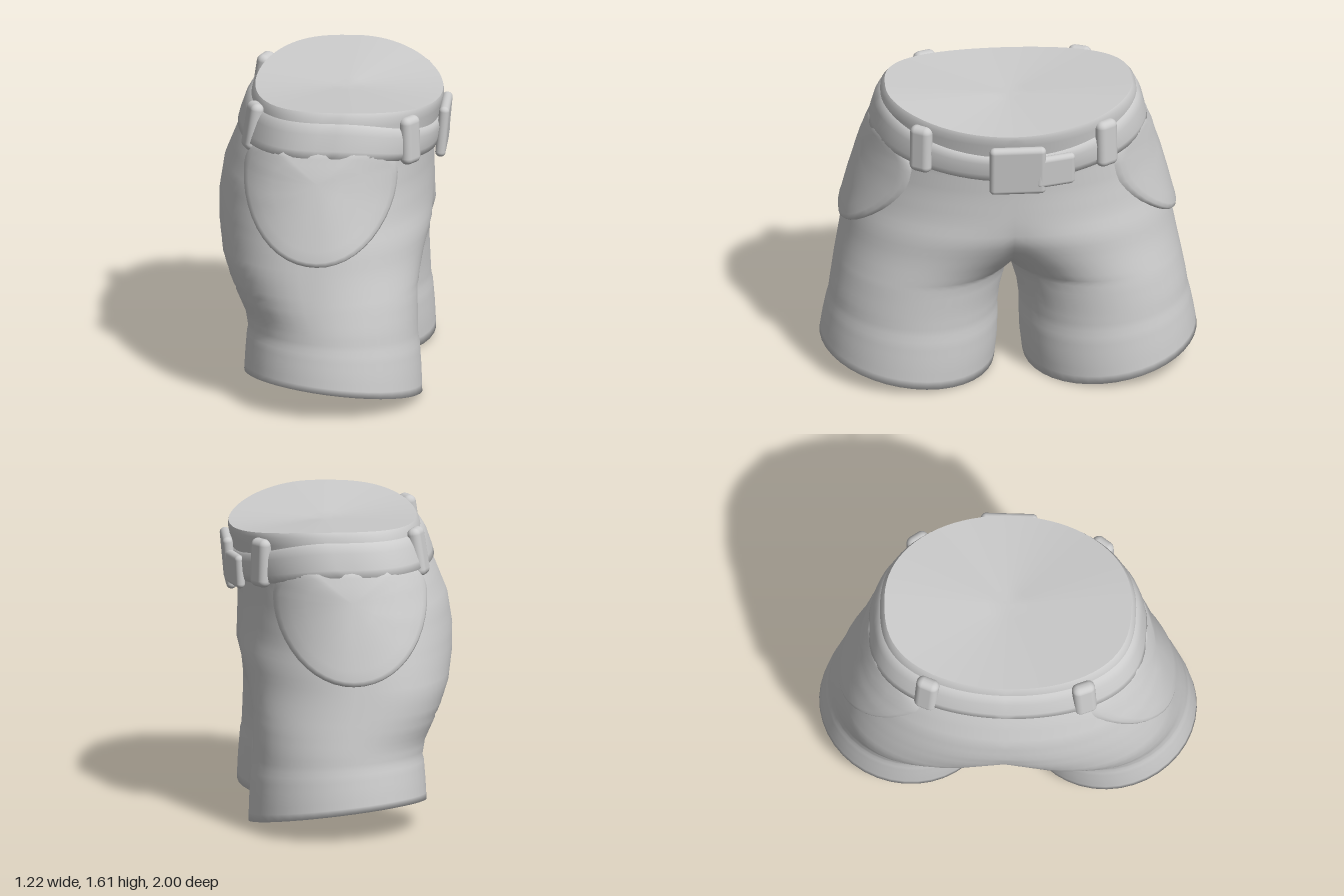
import * as THREE from 'three';
import { mergeVertices, mergeGeometries } from 'three/addons/utils/BufferGeometryUtils.js';
import { RoundedBoxGeometry } from 'three/addons/geometries/RoundedBoxGeometry.js';

// Half-body sections: height, front x, back x, outer z, inner z
const SECTIONS = [
  [1.61, 0.568, -0.425, 0.655, -0.655], [1.585, 0.572, -0.44, 0.675, -0.675],
  [1.45, 0.55, -0.465, 0.69, -0.69], [1.3, 0.525, -0.53, 0.745, -0.745],
  [1.15, 0.52, -0.59, 0.79, -0.78], [1.0, 0.52, -0.612, 0.83, -0.74],
  [0.88, 0.518, -0.605, 0.86, -0.56], [0.75, 0.485, -0.578, 0.885, -0.28],
  [0.65, 0.47, -0.535, 0.905, -0.09], [0.58, 0.465, -0.5, 0.92, 0],
  [0.45, 0.468, -0.445, 0.942, 0.045], [0.35, 0.472, -0.43, 0.955, 0.06],
  [0.32, 0.48, -0.437, 0.964, 0.055], [0.2, 0.49, -0.445, 0.985, 0.06], [0.085, 0.495, -0.45, 1.0, 0.075],
];
const { clamp, lerp, smoothstep } = THREE.MathUtils;

function section(y) {
  let i = 0;
  while (i < SECTIONS.length - 2 && y < SECTIONS[i + 1][0]) i++;
  const a = SECTIONS[i], b = SECTIONS[i + 1];
  const t = clamp((a[0] - y) / (a[0] - b[0]), 0, 1);
  const [, xf, xb, zo, zi] = a.map((v, k) => lerp(v, b[k], t));
  return {
    cx: (xf + xb) / 2, rx: (xf - xb) / 2, c: (zo + zi) / 2, rz: (zo - zi) / 2,
    back: lerp(1, 0.78, smoothstep(y, 0.4, 0.8)) - 0.1 * smoothstep(y, 1.1, 1.4), // squarer at the back
  };
}

// Point on the garment; u runs -1 (back) to 1 (front) round the outer side
function surface(y, u, off = 0) {
  const s = section(y);
  const phi = u * Math.acos(clamp(-s.c / s.rz, -1, 1));
  const sn = Math.sin(phi), cs = Math.cos(phi);
  const sx = sn < 0 ? -Math.pow(-sn, s.back) : sn;
  const top = clamp((y - 1.3) / 0.3, 0, 1), bottom = clamp((0.58 - y) / 0.495, 0, 1);
  const dy = -top * sn * sn * (sn > 0 ? 0.075 : 0.035) + bottom * (0.065 * cs - 0.055 * sn);
  let z = s.c + (s.rz + off) * cs;
  if (Math.abs(u) === 1 && s.c <= s.rz) z = 0;
  return [s.cx + (s.rx + off) * sx, y + dy, z];
}

// Depth of the side surface at a given x and height
function sideZ(x, y) {
  const s = section(y);
  let k = (x - s.cx) / s.rx;
  if (k < 0) k = -Math.pow(-k, 1 / s.back);
  return s.c + s.rz * Math.sqrt(Math.max(0, 1 - k * k));
}

// Grid of points, optionally mirrored and welded along z = 0
function grid(nu, nv, fn, mirrored = true) {
  const build = (sign) => {
    const pos = [], idx = [];
    for (let j = 0; j <= nv; j++) for (let i = 0; i <= nu; i++) {
      const [x, y, z] = fn(i / nu, j);
      pos.push(x, y, z * sign);
    }
    for (let j = 0; j < nv; j++) for (let i = 0; i < nu; i++) {
      const a = j * (nu + 1) + i, b = a + nu + 1;
      if (sign > 0) idx.push(a, b, a + 1, b, b + 1, a + 1);
      else idx.push(a, a + 1, b, b, a + 1, b + 1);
    }
    const g = new THREE.BufferGeometry();
    g.setAttribute('position', new THREE.Float32BufferAttribute(pos, 3));
    g.setIndex(idx);
    return g;
  };
  const whole = mirrored ? mergeGeometries([build(1), build(-1)]) : build(1);
  const g = mergeVertices(whole, 1e-4);
  g.computeVertexNormals();
  return g;
}

export function createModel() {
  const group = new THREE.Group();
  const cloth = new THREE.MeshStandardMaterial({ color: 0xcccccc, side: THREE.DoubleSide });
  cloth.name = 'light grey';
  const add = (name, geo) => {
    const mesh = new THREE.Mesh(geo, cloth);
    mesh.name = name;
    group.add(mesh);
    return mesh;
  };

  // Shorts: waist to hem, then the lip and the inside of each leg
  const rows = [];
  for (let i = 0; i < SECTIONS.length - 1; i++) {
    const y0 = SECTIONS[i][0], y1 = SECTIONS[i + 1][0];
    const n = Math.ceil((y0 - y1) / 0.05);
    for (let k = 0; k < n; k++) rows.push([lerp(y0, y1, k / n), 0]);
  }
  rows.push([0.085, 0], [0.09, -0.03], [0.12, -0.035], [0.3, -0.022], [0.42, -0.004]);
  add('shorts', grid(40, rows.length - 1, (t, j) => surface(rows[j][0], t * 2 - 1, rows[j][1])));

  // Closed top of the waist
  const centre = [0.06, 1.55, 0];
  add('waistTop', grid(40, 6, (t, j) =>
    surface(1.61, t * 2 - 1).map((v, k) => lerp(centre[k], v, j / 6))));

  // Belt with a softly bulged section, lower at the front
  const beltY = (u) => 1.46 - (u > 0 ? 0.115 * Math.sin(u * Math.PI / 2) ** 2 : 0);
  const belt = [[0.1, -0.004], [0.085, 0.014], [0.045, 0.027], [-0.04, 0.03], [-0.08, 0.022], [-0.1, -0.015]];
  add('belt', grid(40, belt.length - 1, (t, j) => {
    const u = t * 2 - 1;
    return surface(beltY(u) + belt[j][0], u, belt[j][1]);
  }));

  // Belt loops, two in front and two behind
  for (const side of [1, -1]) for (const u of [0.52, -0.6]) {
    const y = u > 0 ? 1.435 : 1.465;
    const p = surface(y, u, 0.022), a = surface(y, u - 0.04), b = surface(y, u + 0.04);
    const loop = add(u > 0 ? 'frontBeltLoop' : 'backBeltLoop', new RoundedBoxGeometry(0.125, 0.26, 0.075, 4, 0.036));
    loop.position.set(p[0], p[1], p[2] * side);
    const yaw = Math.atan2(-(b[2] - a[2]), b[0] - a[0]);
    loop.rotation.set(u > 0 ? -0.03 : -0.16, side > 0 ? yaw : Math.PI - yaw, 0, 'YXZ');
  }

  // Curved pocket flaps following the sides, tucked under the belt
  const flap = [[0, 0.028], [0.3, 0.028], [0.6, 0.028], [0.8, 0.028], [0.93, 0.03], [0.98, 0.024], [1, 0.008], [1, -0.04]];
  for (const side of [1, -1]) {
    const geo = grid(48, flap.length - 1, (t, j) => {
      const [r, off] = flap[j], a = t * Math.PI * 2, sn = Math.sin(a);
      const x = -0.045 + 0.41 * r * Math.sign(Math.cos(a)) * Math.abs(Math.cos(a)) ** (sn > 0 ? 0.35 : 1);
      const y = 1.25 + (sn > 0 ? 0.16 : 0.43) * r * sn;
      return [x, y, side * (sideZ(x, y) + off)];
    }, false);
    add(side > 0 ? 'leftPocketFlap' : 'rightPocketFlap', geo);
  }

  // Buckle, with the belt end beside it
  const buckle = add('buckle', new RoundedBoxGeometry(0.055, 0.28, 0.3, 5, 0.027));
  buckle.position.set(0.572, 1.34, -0.01);
  buckle.rotation.z = -0.09;
  const end = add('beltEnd', new RoundedBoxGeometry(0.05, 0.18, 0.22, 5, 0.025));
  end.position.set(0.55, 1.325, -0.21);
  end.rotation.set(0, 0.27, -0.05);
  return group;
}
